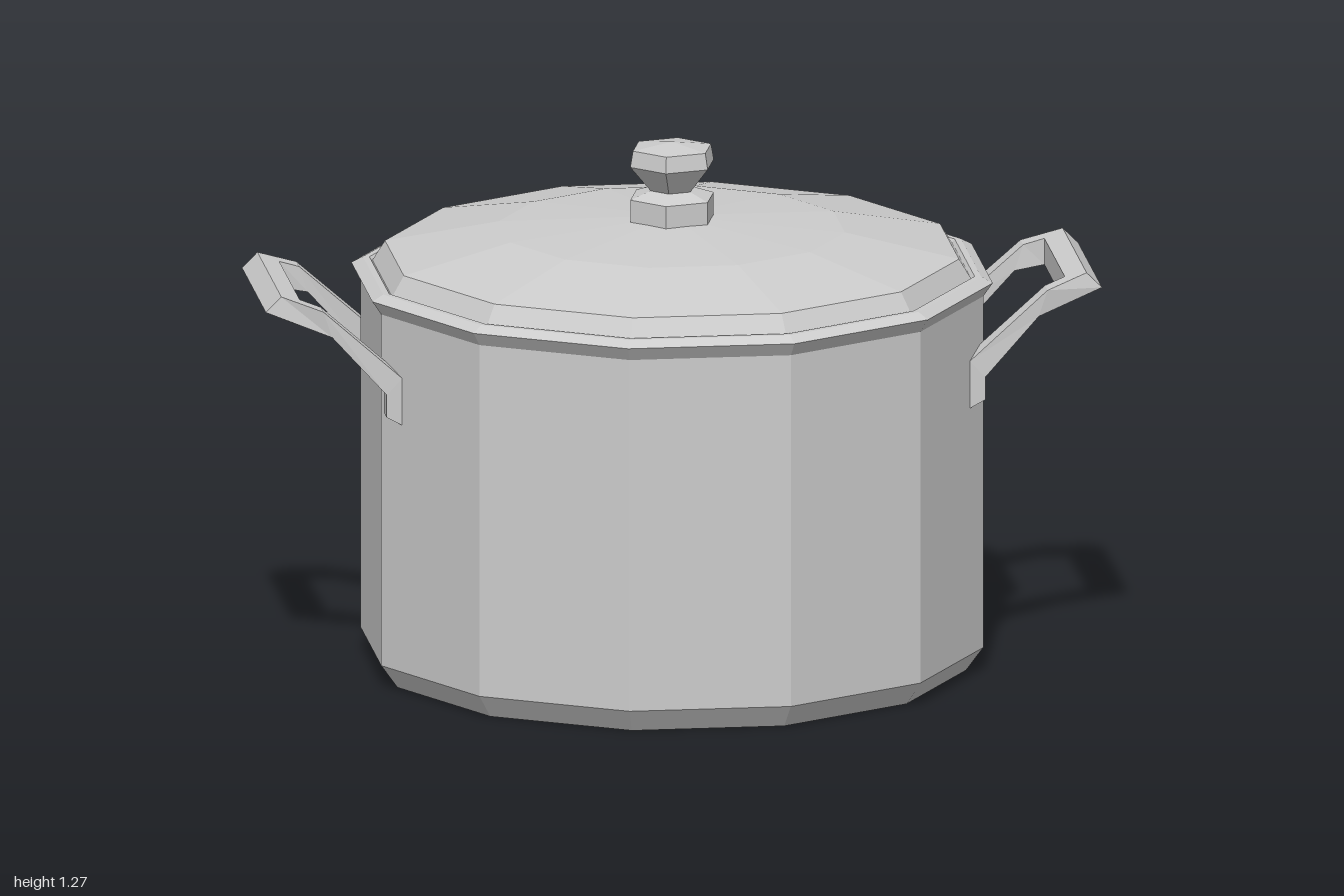
import * as THREE from 'three';

const steel = new THREE.MeshStandardMaterial({ color: 0xcccccc });
steel.name = 'steel';

// Gives every face its own normal for a faceted look
function faceted(geometry, name) {
  const g = geometry.index ? geometry.toNonIndexed() : geometry;
  g.computeVertexNormals();
  const mesh = new THREE.Mesh(g, steel);
  mesh.name = name;
  return mesh;
}

// Faceted solid of revolution; profile is [radius, y] from bottom to top
function turned(name, profile, sides, startDeg, scale = 1) {
  const points = profile.map(([r, y]) => new THREE.Vector2(r * scale, y));
  return faceted(new THREE.LatheGeometry(points, sides, THREE.MathUtils.degToRad(startDeg)), name);
}

// Skins four-cornered sections and caps both ends
function loft(sections) {
  const pos = [];
  const quad = (a, b, c, d) => pos.push(...a, ...b, ...c, ...a, ...c, ...d);
  for (let i = 0; i < sections.length - 1; i++) {
    const s = sections[i], t = sections[i + 1];
    for (let j = 0; j < 4; j++) {
      const k = (j + 1) % 4;
      quad(s[j], s[k], t[k], t[j]);
    }
  }
  const first = sections[0], last = sections[sections.length - 1];
  quad(first[0], first[3], first[2], first[1]);
  quad(last[0], last[1], last[2], last[3]);
  const g = new THREE.BufferGeometry();
  g.setAttribute('position', new THREE.Float32BufferAttribute(pos, 3));
  return g;
}

// Looped side handle on +x: foot, bend, arm, cross bar, mirrored arm
function makeHandle(name) {
  const arm = ([ux, uy], [lx, ly], zOut, zIn) => [
    [ux, uy, zOut], [lx, ly, zOut], [lx, ly, zIn], [ux, uy, zIn],
  ];
  const half = [
    arm([0.679, 0.66], [0.716, 0.68], 0.265, 0.21),
    arm([0.679, 0.775], [0.716, 0.735], 0.265, 0.21),
    arm([0.866, 0.94], [0.845, 0.877], 0.255, 0.205),
    // mitred corner of the cross bar
    [[0.963, 0.973, 0.226], [1.0, 0.936, 0.226], [0.915, 0.893, 0.192], [0.915, 0.957, 0.192]],
  ];
  const mirrored = half.map(s => s.map(([x, y, z]) => [x, y, -z])).reverse();
  return faceted(loft([...half, ...mirrored]), name);
}

export function createModel() {
  const model = new THREE.Group();
  model.name = 'cookingPot';

  // Twelve-sided parts: profiles give the distance to the flats
  const toCorner = 1 / Math.cos(Math.PI / 12);
  model.add(turned('potBody', [
    [0, 0], [0.68, 0], [0.72, 0.057], [0.72, 0.915],
    [0.742, 0.948], [0.715, 0.963], [0.7, 0.963], [0.69, 0.952],
  ], 12, 15, toCorner));
  model.add(turned('lid', [
    [0.695, 0.952], [0.664, 1.004], [0.4, 1.06], [0, 1.088],
  ], 12, 15, toCorner));

  // Six-sided knob with a collar, neck and domed cap
  model.add(turned('lidKnob', [
    [0.107, 1.075], [0.107, 1.135], [0.055, 1.153],
    [0.107, 1.215], [0.1, 1.254], [0, 1.268],
  ], 6, 45));

  const left = makeHandle('leftHandle');
  const right = makeHandle('rightHandle');
  right.rotation.y = Math.PI;
  model.add(left, right);
  return model;
}
